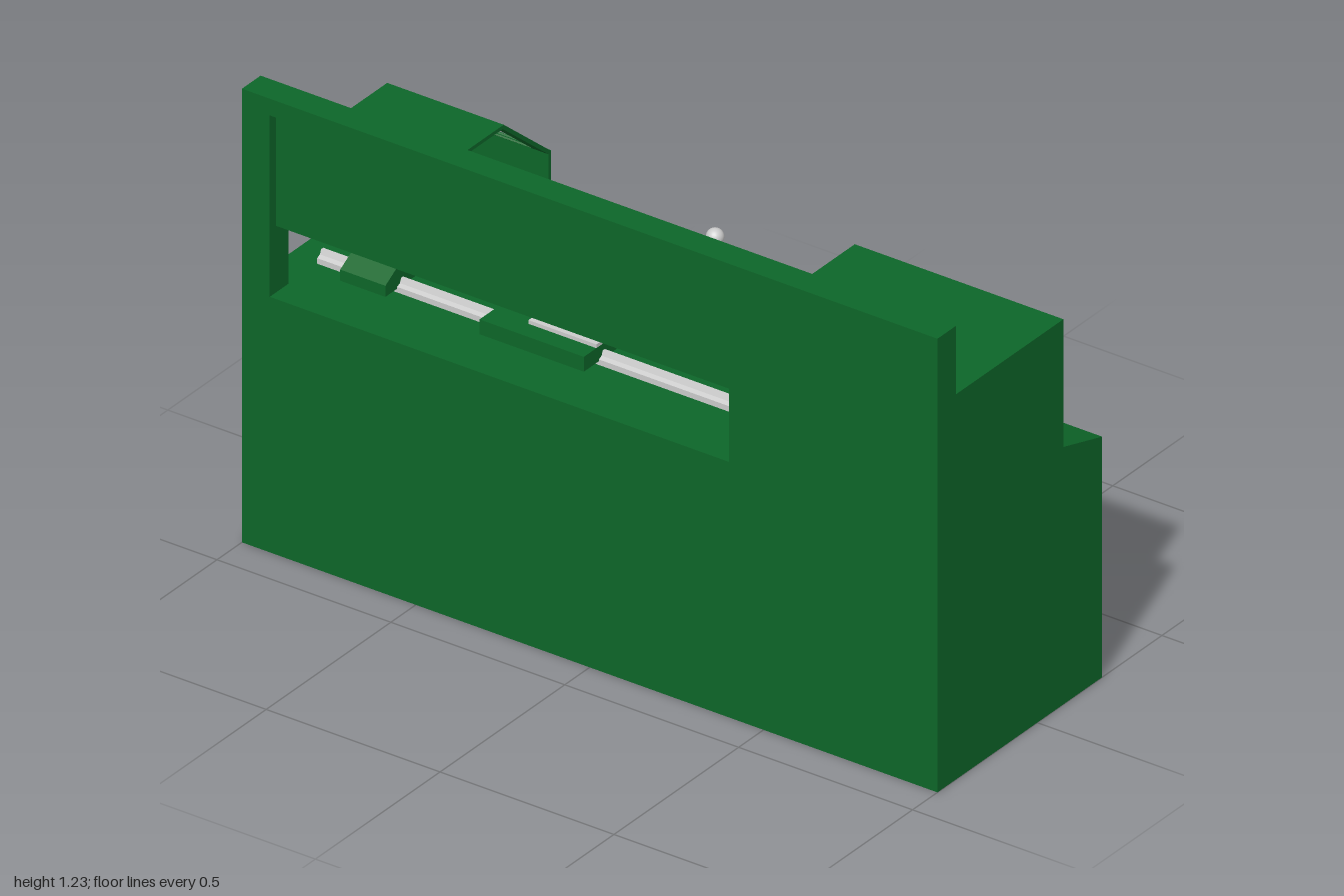
import * as THREE from 'three';

const mat = (color) => new THREE.MeshStandardMaterial({ color });
const green = mat(0x0d6629), dark = mat(0x242426), steel = mat(0xcccccc);
const V = (x, y, z) => new THREE.Vector3(x, y, z);

export function createModel() {
  const root = new THREE.Group();

  const add = (name, geo, material, parent = root) => {
    const m = new THREE.Mesh(geo, material);
    m.name = name;
    parent.add(m);
    return m;
  };
  // Box given by its limits on each axis
  const box = (name, x0, x1, y0, y1, z0, z1, material = green) =>
    add(name, new THREE.BoxGeometry(x1 - x0, y1 - y0, z1 - z0)
      .translate((x0 + x1) / 2, (y0 + y1) / 2, (z0 + z1) / 2), material);
  const shapeOf = (pts) => new THREE.Shape(pts.map(([a, b]) => new THREE.Vector2(a, b)));
  // Side outline in (z, y), extruded from x0 to x1
  const sidePlate = (name, pts, x0, x1, hole) => {
    const s = shapeOf(pts.map(([z, y]) => [-z, y]));
    if (hole) s.holes.push(shapeOf(hole.map(([z, y]) => [-z, y])));
    const g = new THREE.ExtrudeGeometry(s, { depth: x1 - x0, bevelEnabled: false });
    return add(name, g.rotateY(Math.PI / 2).translate(x0, 0, 0), green);
  };
  // End outline in (x, y), extruded from z0 to z1
  const endProfile = (name, pts, z0, z1, material = green) =>
    add(name, new THREE.ExtrudeGeometry(shapeOf(pts), { depth: z1 - z0, bevelEnabled: false })
      .translate(0, 0, z0), material);
  // Round bar between two points
  const bar = (name, a, b, r0, material = steel, r1 = r0, parent = root) => {
    const d = b.clone().sub(a);
    const m = add(name, new THREE.CylinderGeometry(r1, r0, d.length(), 20), material, parent);
    m.position.copy(a).addScaledVector(d, 0.5);
    m.quaternion.setFromUnitVectors(V(0, 1, 0), d.normalize());
    return m;
  };
  const ball = (name, p, r, material) =>
    add(name, new THREE.SphereGeometry(r, 20, 14), material).position.copy(p);
  const rect = (z0, z1, y0, y1) => [[z0, y0], [z1, y0], [z1, y1], [z0, y1]];

  // Tall back wall with a window and its recessed splash panel
  sidePlate('backWall', rect(1, -1, 0, 1.225), -0.4, -0.325, rect(0.4, -0.92, 0.69, 1.18));
  box('splashPanel', -0.375, -0.35, 0.87, 1.18, -0.92, 0.4);

  // Bed, headstock and front casing
  box('bed', -0.325, 0.105, 0, 0.69, -1, 0.4);
  box('headstock', -0.325, 0.105, 0, 1.04, 0.4, 1);
  endProfile('gearboxCasing', [[0.105, 0], [0.26, 0], [0.26, 0.65], [0.105, 0.695]], 0.4, 1);
  sidePlate('frontCasing', [[0.4, 0.27], [-0.74, 0.27], [-0.74, 0], [-1, 0], [-1, 0.69],
    [-0.92, 0.69], [-0.92, 0.4], [0.4, 0.4]], 0.105, 0.26);

  // Bed ways, with a raised V along the middle
  for (const x of [-0.19, 0.003]) {
    endProfile('bedWay', [[x - 0.02, 0.69], [x + 0.02, 0.69], [x + 0.02, 0.705], [x + 0.009, 0.71],
      [x + 0.004, 0.722], [x - 0.004, 0.722], [x - 0.009, 0.71], [x - 0.02, 0.705]], -0.92, 0.4, steel);
  }
  // Lead screw and feed rods
  for (const [y, r] of [[0.63, 0.017], [0.575, 0.009], [0.445, 0.01]])
    bar('feedRod', V(0.182, y, -0.92), V(0.182, y, 0.4), r);

  // Carriage
  sidePlate('apron', [[-0.065, 0.4], [-0.485, 0.4], [-0.445, 0.74], [-0.1, 0.74]], 0.105, 0.26);
  box('saddle', -0.27, 0.105, 0.7, 0.74, -0.41, -0.11);
  box('crossSlide', -0.22, 0.22, 0.74, 0.75, -0.305, -0.11, steel);
  for (const [x0, x1] of [[-0.2, -0.06], [0.08, 0.2]]) {
    const c = 0.02, z0 = -0.285, z1 = -0.13;
    const pad = shapeOf([[x0 + c, z0], [x1 - c, z0], [x1, z0 + c], [x1, z1 - c],
      [x1 - c, z1], [x0 + c, z1], [x0, z1 - c], [x0, z0 + c]].map(([x, z]) => [x, -z]));
    add('crossSlidePad', new THREE.ExtrudeGeometry(pad, { depth: 0.006, bevelEnabled: false })
      .rotateX(-Math.PI / 2).translate(0, 0.75, 0), steel);
  }
  box('compoundSlide', -0.055, 0.14, 0.75, 0.768, -0.395, -0.12, steel);
  box('toolPostBase', -0.01, 0.095, 0.768, 0.782, -0.215, -0.11, steel);
  bar('toolPost', V(0.043, 0.782, -0.163), V(0.043, 0.85, -0.163), 0.038);
  bar('toolPostCap', V(0.043, 0.85, -0.163), V(0.043, 0.873, -0.163), 0.026);
  bar('toolPostLever', V(0.05, 0.825, -0.155), V(0.175, 0.875, -0.052), 0.007);
  ball('toolPostLeverBall', V(0.175, 0.875, -0.052), 0.022, steel);

  // Handwheel facing +x: rim, four spokes, hub, shaft and crank grip
  const handwheel = (name, r, shaft, grip) => {
    const g = new THREE.Group();
    g.name = name;
    root.add(g);
    add('rim', new THREE.TorusGeometry(r, 0.007, 10, 40).rotateY(Math.PI / 2), steel, g);
    bar('spoke', V(0, -r, 0), V(0, r, 0), 0.005, steel, 0.005, g);
    bar('spoke', V(0, 0, -r), V(0, 0, r), 0.005, steel, 0.005, g);
    bar('hub', V(-0.01, 0, 0), V(0.01, 0, 0), 0.014, steel, 0.014, g);
    bar('shaft', V(-shaft, 0, 0), V(0, 0, 0), 0.008, steel, 0.008, g);
    bar('grip', V(0, 0, r), V(grip, 0, 0).setZ(r), 0.009, steel, 0.005, g);
    return g;
  };
  handwheel('apronHandwheel', 0.064, 0.08, 0.058).position.set(0.338, 0.51, -0.19);
  handwheel('crossFeedHandwheel', 0.038, 0.045, 0.036).position.set(0.305, 0.66, -0.19);
  const tailWheel = handwheel('tailstockHandwheel', 0.063, 0.05, 0.045);
  tailWheel.position.set(-0.097, 0.888, -0.877);
  tailWheel.rotation.y = Math.PI / 2;

  // Tailstock: flared foot, upright and overhanging barrel
  const tx = -0.097;
  const mirrored = (half) => [...half.map(([x, y]) => [tx + x, y]),
    ...half.slice().reverse().map(([x, y]) => [tx - x, y])];
  endProfile('tailstockFoot', mirrored([[0.16, 0.7], [0.16, 0.73], [0.1, 0.765], [0.068, 0.79],
    [0.068, 0.87]]), -0.82, -0.69);
  endProfile('tailstockBarrel', mirrored([[0.068, 0.865], [0.068, 0.885], [0.04, 0.912]]), -0.83, -0.665);
  bar('tailstockQuill', V(tx, 0.885, -0.67), V(tx, 0.885, -0.655), 0.022);

  // Chuck and its three jaws
  const chuckProfile = [[0, 0.4], [0.065, 0.4], [0.065, 0.385], [0.05, 0.385], [0.05, 0.365], [0.058, 0.36],
    [0.058, 0.345], [0.046, 0.335], [0.046, 0.315], [0.07, 0.315], [0.073, 0.31], [0.073, 0.24],
    [0.068, 0.235], [0.02, 0.235], [0.02, 0.26], [0, 0.26]];
  const chuck = add('chuck', new THREE.LatheGeometry(
    chuckProfile.map(([r, z]) => new THREE.Vector2(r, -z)), 32).rotateX(-Math.PI / 2)
    .toNonIndexed(), steel);
  chuck.geometry.computeVertexNormals();
  chuck.position.set(tx, 0.882, 0);
  for (let i = 0; i < 3; i++) {
    const jaw = new THREE.BoxGeometry(0.02, 0.045, 0.03).translate(0, 0.043, 0.228)
      .rotateZ(Math.PI / 2 + i * Math.PI * 2 / 3);
    add('chuckJaw', jaw, steel, chuck);
  }

  // Control knobs in two rows
  const knobProfile = [[0, 0], [0.042, 0], [0.042, 0.012], [0.038, 0.016], [0.026, 0.042],
    [0.03, 0.046], [0.03, 0.066], [0.026, 0.07], [0, 0.07]].map(([r, y]) => new THREE.Vector2(r, y));
  const knobGeo = new THREE.LatheGeometry(knobProfile, 24).rotateZ(-Math.PI / 2).toNonIndexed();
  knobGeo.computeVertexNormals();
  for (const [x, y, zs] of [[0.105, 0.828, [0.885, 0.735, 0.595, 0.475]],
    [0.26, 0.513, [0.91, 0.775, 0.645, 0.495]]])
    for (const z of zs) add('controlKnob', knobGeo, dark).position.set(x, y, z);

  // Shift levers on the last knob of each row
  for (const [a, b] of [[V(0.12, 0.828, 0.475), V(0.127, 0.955, 0.402)],
    [V(0.28, 0.513, 0.495), V(0.292, 0.625, 0.588)]]) {
    bar('leverHub', V(a.x - 0.015, a.y, a.z), V(a.x + 0.035, a.y, a.z), 0.043, dark);
    bar('shiftLever', a, b, 0.006, dark, 0.009);
    ball('leverTip', b, 0.014, dark);
  }

  // Hinged guard: flat top, sloping window frame and front flap
  const z0 = -0.74, z1 = -0.405, t = 0.01;
  box('guardTop', -0.325, -0.18, 1.225 - t, 1.225, z0, z1);
  box('guardFlap', 0, 0.01, 0.935, 1.067, z0, z1);
  const dx = 0.19, dy = -0.16, len = Math.hypot(dx, dy);
  const frame = shapeOf([[0, -z1], [len, -z1], [len, -z0], [0, -z0]]);
  frame.holes.push(shapeOf([[0.015, 0.45], [len - 0.008, 0.45], [len - 0.008, 0.695], [0.015, 0.695]]));
  const slope = add('guardWindowFrame', new THREE.ExtrudeGeometry(frame, { depth: t, bevelEnabled: false })
    .rotateX(-Math.PI / 2).translate(0, -t, 0), green);
  slope.position.set(-0.18, 1.225, 0);
  slope.rotation.z = Math.atan2(dy, dx);

  return root;
}
